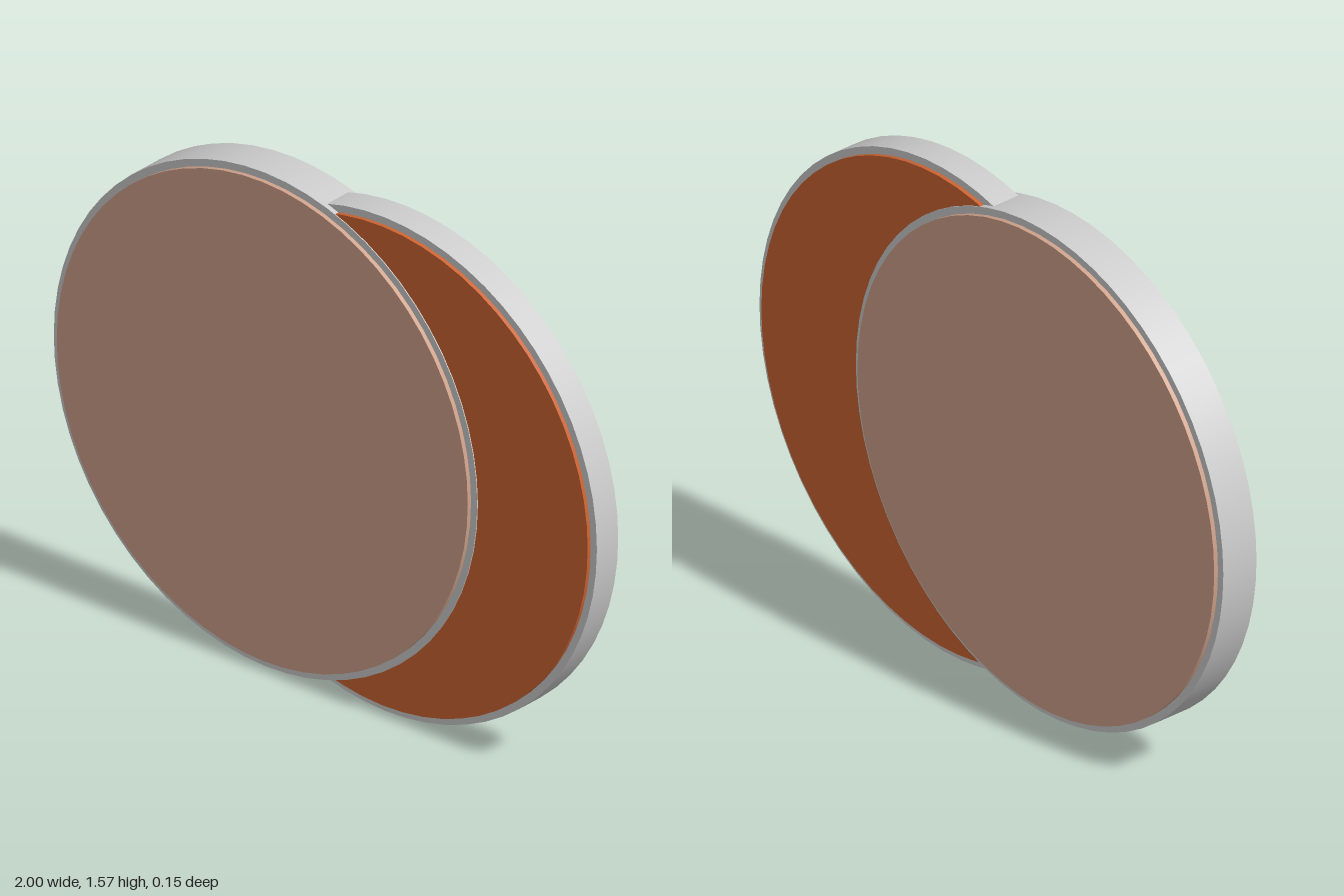
import * as THREE from 'three';

const RADIUS = 0.785;
const FACE_RADIUS = 0.762;

function material(name, color) {
  const m = new THREE.MeshStandardMaterial({ color });
  m.name = name;
  return m;
}

// Solid disc whose flat ends face +z and -z
function disc(name, radius, depth, mat) {
  const geometry = new THREE.CylinderGeometry(radius, radius, depth, 64);
  geometry.rotateX(Math.PI / 2);
  const mesh = new THREE.Mesh(geometry, mat);
  mesh.name = name;
  return mesh;
}

// Metal disc with a slightly smaller coloured plate standing proud on both sides
function platedDisc(name, x, halfRim, halfFace, rimMat, faceMat) {
  const group = new THREE.Group();
  group.name = name;
  group.add(disc(name + 'Rim', RADIUS, halfRim * 2, rimMat));
  const plateDepth = halfFace - halfRim;
  for (const [side, sign] of [['Front', 1], ['Back', -1]]) {
    const plate = disc(name + side + 'Plate', FACE_RADIUS, plateDepth, faceMat);
    plate.position.z = sign * (halfRim + plateDepth / 2);
    group.add(plate);
  }
  group.position.set(x, RADIUS, 0);
  return group;
}

export function createModel() {
  const silver = material('silver', 0xcccccc);
  const pink = material('dustyPink', 0xcfa28b);
  const orange = material('burntOrange', 0xcc6433);

  const model = new THREE.Group();
  model.name = 'overlappingDiscs';
  // Thicker disc on the right, thinner one tucked behind it on the left
  model.add(platedDisc('thickDisc', -0.215, 0.062, 0.076, silver, pink));
  model.add(platedDisc('thinDisc', 0.215, 0.046, 0.059, silver, orange));
  return model;
}
